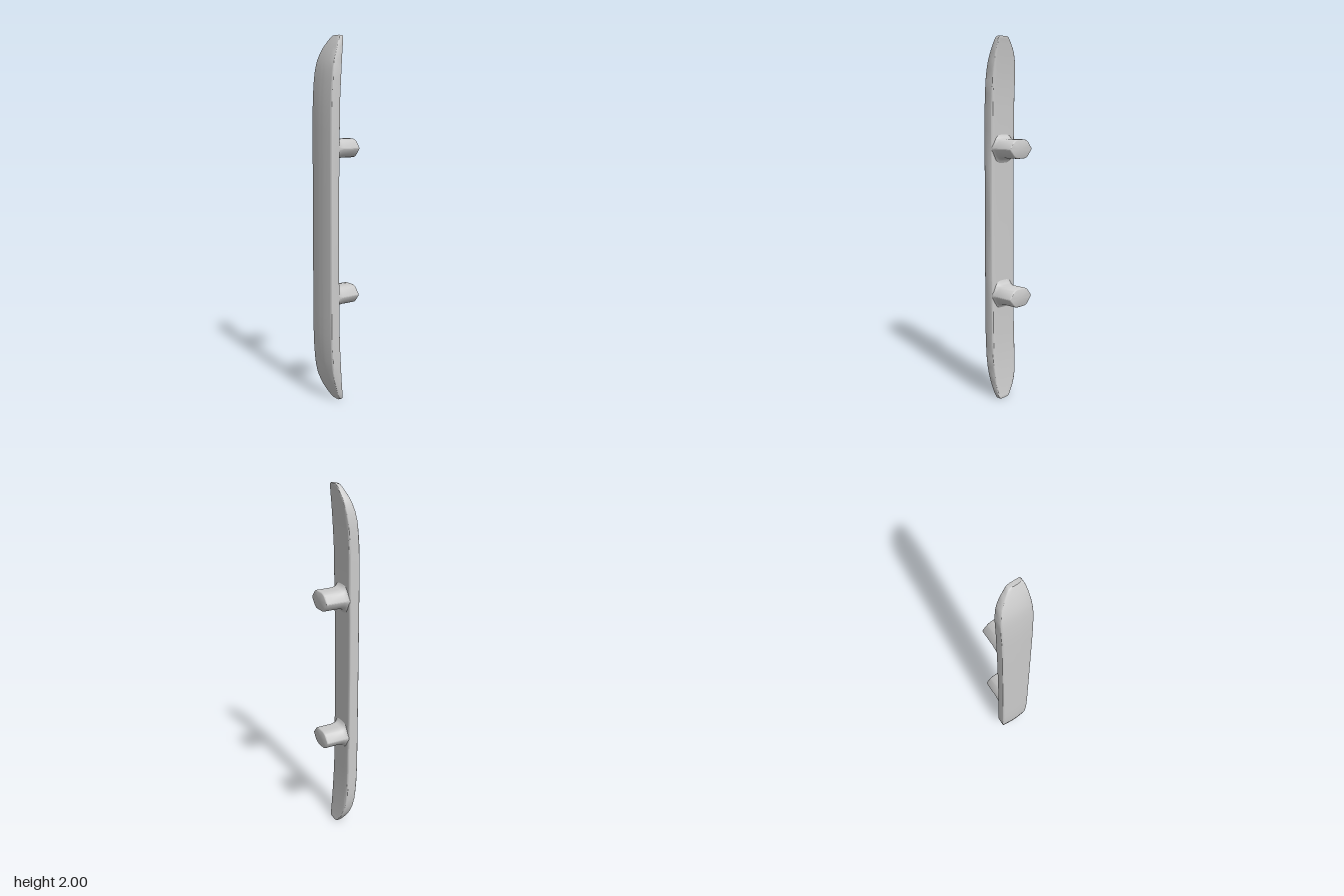
import * as THREE from 'three';
import { toCreasedNormals } from 'three/addons/utils/BufferGeometryUtils.js';

const material = new THREE.MeshStandardMaterial({ color: 0xcccccc });

// Closed polygon with every corner rounded by a quadratic curve; amount 0..0.5 of each edge.
function roundedLoop(corners, amount, steps) {
  const pts = corners.map(([x, y]) => new THREE.Vector2(x, y));
  const loop = [];
  pts.forEach((p, i) => {
    const a = p.clone().lerp(pts[(i + pts.length - 1) % pts.length], amount[i]);
    const b = p.clone().lerp(pts[(i + 1) % pts.length], amount[i]);
    loop.push(...new THREE.QuadraticBezierCurve(a, p, b).getPoints(steps));
  });
  return loop;
}

// Skin through equal rings stacked along +y (anticlockwise from above), closed at both ends.
function loft(rings) {
  const n = rings[0].length;
  const pos = rings.flat().flatMap((p) => [p.x, p.y, p.z]);
  const index = [];
  for (let r = 0; r < rings.length - 1; r++) {
    for (let i = 0; i < n; i++) {
      const a = r * n + i, b = r * n + (i + 1) % n;
      index.push(a, b, a + n, b, b + n, a + n);
    }
  }
  [0, rings.length - 1].forEach((r, end) => {
    const c = new THREE.Vector3();
    rings[r].forEach((p) => c.addScaledVector(p, 1 / n));
    const centre = pos.length / 3;
    pos.push(c.x, c.y, c.z);
    for (let i = 0; i < n; i++) {
      const a = r * n + i, b = r * n + (i + 1) % n;
      index.push(centre, end ? a : b, end ? b : a);
    }
  });
  const g = new THREE.BufferGeometry();
  g.setAttribute('position', new THREE.Float32BufferAttribute(pos, 3));
  g.setIndex(index);
  return toCreasedNormals(g, 0.7);
}

// Grip bar: one section, fitted to the outline at each height above the middle.
function gripBar() {
  // u across the width (-1..1), v from the front (0) to the back (1)
  const section = roundedLoop(
    [[-1, 0.1], [0, -0.03], [1, 0.1], [1, 0.9], [0.9, 1], [-0.9, 1], [-1, 0.9]],
    [0.12, 0.5, 0.12, 0.15, 0.3, 0.3, 0.15], 5);
  // height, left edge, right edge, back, front
  const half = [
    [0, -0.09, 0.088, 0.036, 0.1],
    [0.3, -0.09, 0.088, 0.035, 0.1],
    [0.5, -0.09, 0.088, 0.032, 0.1],
    [0.62, -0.09, 0.088, 0.031, 0.099],
    [0.7, -0.09, 0.088, 0.028, 0.096],
    [0.77, -0.089, 0.088, 0.024, 0.091],
    [0.82, -0.086, 0.086, 0.02, 0.086],
    [0.87, -0.079, 0.083, 0.015, 0.077],
    [0.91, -0.067, 0.08, 0.011, 0.064],
    [0.94, -0.052, 0.077, 0.007, 0.053],
    [0.965, -0.034, 0.074, 0.004, 0.042],
    [0.985, -0.018, 0.07, 0.001, 0.032],
    [0.995, -0.008, 0.066, -0.001, 0.027],
    [1, 0.003, 0.058, 0, 0.024],
  ];
  const stations = [
    ...half.slice(1).reverse().map(([y, ...rest]) => [-y, ...rest]),
    ...half,
  ];
  return loft(stations.map(([y, left, right, back, front]) => section.map((p) =>
    new THREE.Vector3(
      THREE.MathUtils.lerp(left, right, (p.x + 1) / 2),
      1 + y,
      THREE.MathUtils.lerp(front, back, p.y)))));
}

// Standoff: rounded hexagonal stub flaring into the bar and softened at its free end.
function standoff() {
  const section = roundedLoop(
    [[1.05, 0], [0.55, -1.03], [-0.55, -1.03], [-1.05, 0], [-0.55, 1.03], [0.55, 1.03]],
    [0.14, 0.3, 0.3, 0.14, 0.3, 0.3], 5);
  // distance behind z = 0, half width, half height
  const stations = [
    [-0.06, 0.085, 0.085], [-0.036, 0.086, 0.08], [-0.03, 0.086, 0.067],
    [-0.022, 0.085, 0.058], [-0.01, 0.084, 0.053], [0.005, 0.083, 0.05],
    [0.094, 0.083, 0.05], [0.098, 0.081, 0.048], [0.1, 0.077, 0.044],
  ];
  const g = loft(stations.map(([d, w, h]) =>
    section.map((p) => new THREE.Vector3(p.x * w, d, p.y * h))));
  return g.rotateX(-Math.PI / 2);
}

export function createModel() {
  const model = new THREE.Group();
  model.name = 'pullHandle';

  const bar = new THREE.Mesh(gripBar(), material);
  bar.name = 'gripBar';
  model.add(bar);

  const post = standoff();
  for (const [name, side] of [['upperStandoff', 1], ['lowerStandoff', -1]]) {
    const mesh = new THREE.Mesh(post, material);
    mesh.name = name;
    mesh.position.y = 1 + side * 0.407;
    model.add(mesh);
  }
  return model;
}
